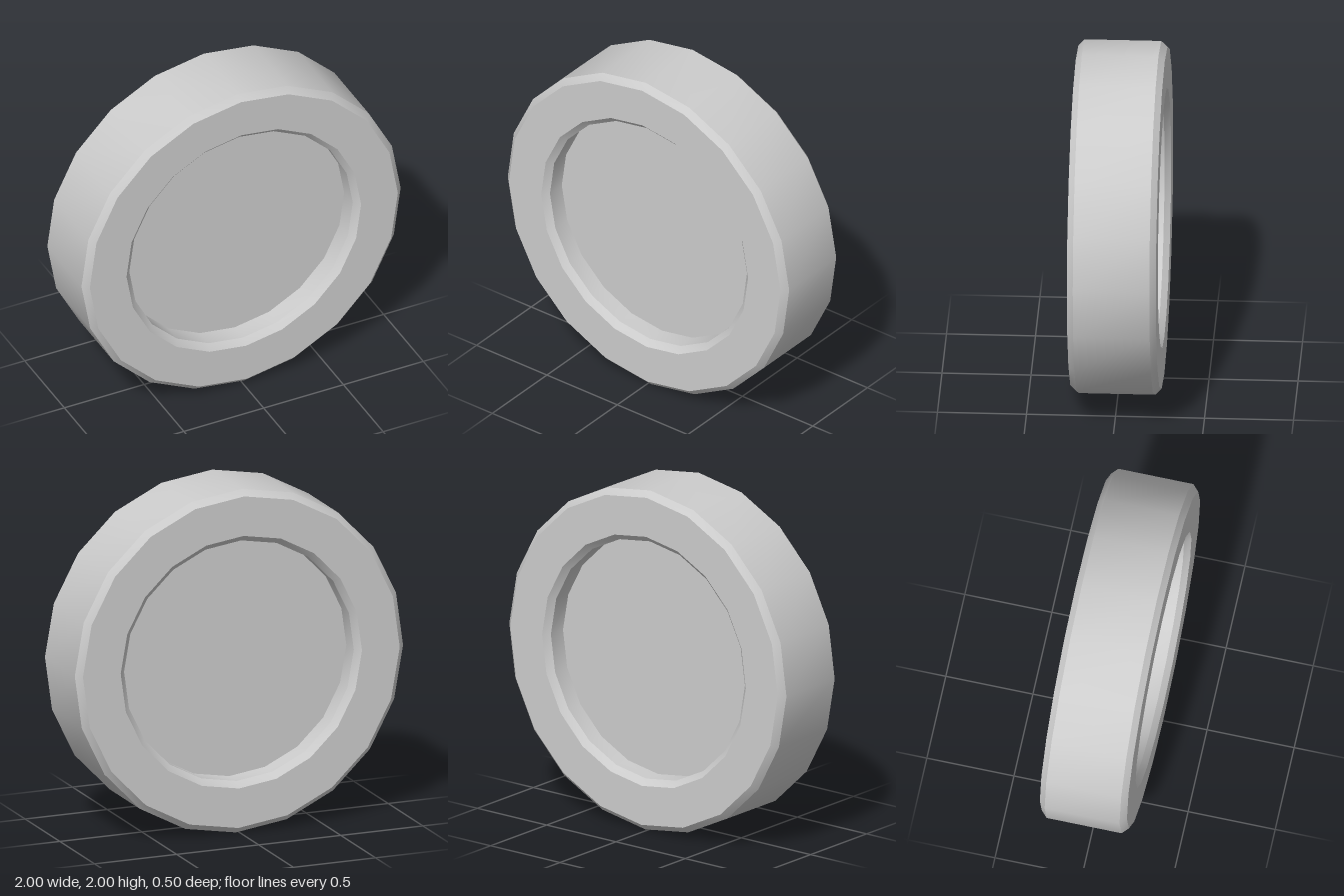
import * as THREE from 'three';
import { toCreasedNormals } from 'three/addons/utils/BufferGeometryUtils.js';

const SIDES = 20;
const TWIST = 0.019; // slight turn of the polygon about its axis

export function createModel() {
  const model = new THREE.Group();
  model.name = 'wheel';
  const material = new THREE.MeshStandardMaterial({ color: 0xcccccc });

  const outer = 1, inner = 0.7, half = 0.25, bevel = 0.035, panelZ = 0.107;

  // Bevelled rim: half profile mirrored front to back
  const back = [
    [inner, -panelZ],
    [inner, -half + bevel],
    [inner + bevel, -half],
    [outer - bevel, -half],
    [outer, -half + bevel],
  ];
  const front = back.map(([r, z]) => [r, -z]).reverse();
  const profile = [...back, ...front].map(([r, z]) => new THREE.Vector2(r, z));
  const rimGeometry = new THREE.LatheGeometry(profile, SIDES);
  rimGeometry.rotateX(Math.PI / 2);
  rimGeometry.rotateZ(TWIST);
  const rim = new THREE.Mesh(toCreasedNormals(rimGeometry, 0.5), material);
  rim.name = 'rim';
  model.add(rim);

  // Recessed flat panels on both faces
  for (const side of [1, -1]) {
    const geometry = new THREE.CircleGeometry(inner, SIDES);
    if (side < 0) geometry.rotateY(Math.PI);
    geometry.rotateZ(TWIST);
    const panel = new THREE.Mesh(geometry, material);
    panel.name = side > 0 ? 'frontPanel' : 'backPanel';
    panel.position.z = side * panelZ;
    model.add(panel);
  }

  // Stand the wheel on the ground
  for (const part of model.children) part.position.y = 1;
  return model;
}
